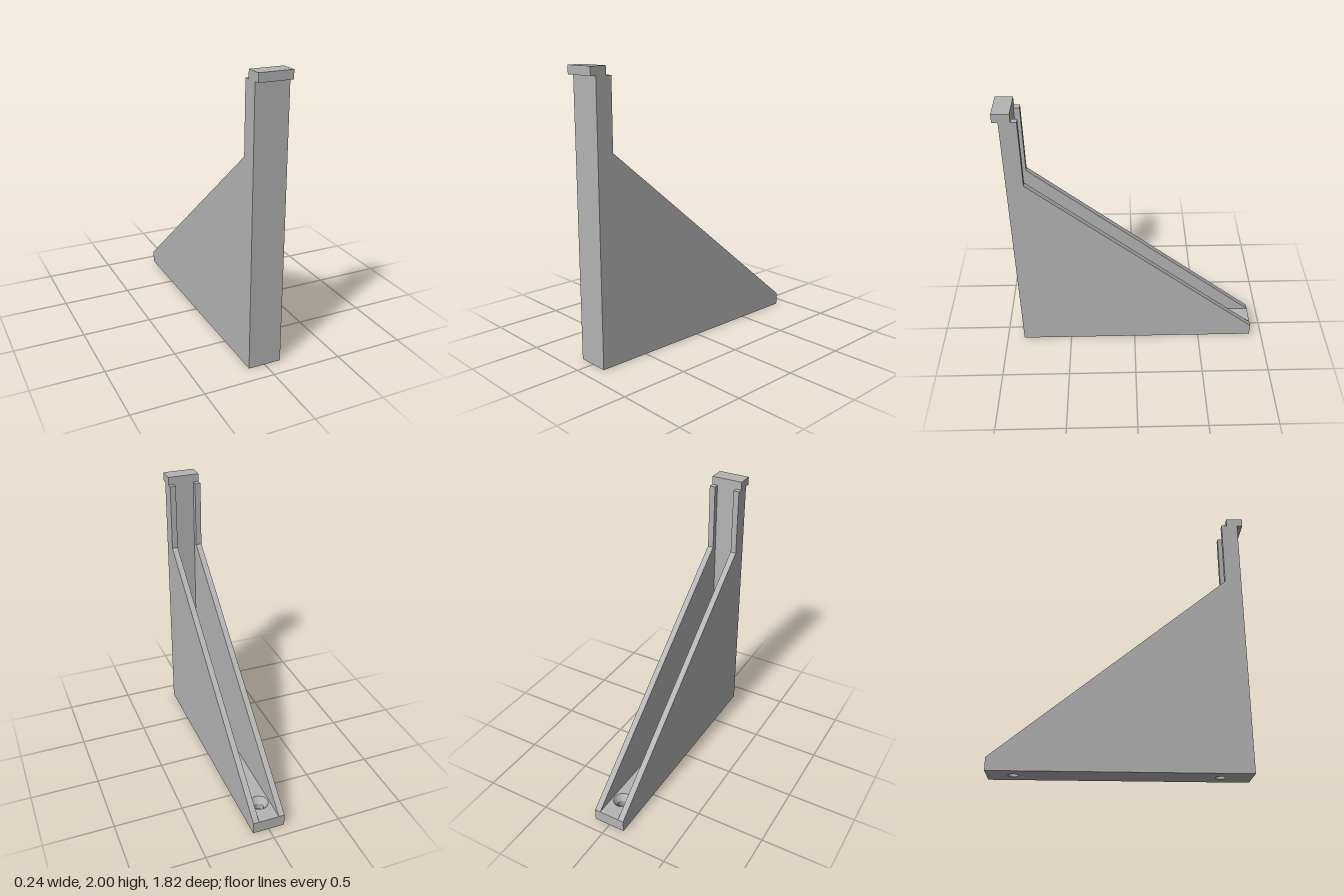
import * as THREE from 'three';

const HALF = 0.118, INNER = 0.075;            // outer and inner half widths
const BACK = -0.91, WALL_IN = 0.79, WALL_OUT = 0.87;
const FLOOR = 0.09, SHOULDER = 1.94, TOP = 2;
const HOLES = [-0.733, 0.654];                // z of the screw holes
const R_SINK = 0.066, R_BORE = 0.035, SINK_Y = 0.045;

export function createModel() {
  const group = new THREE.Group();
  const grey = new THREE.MeshStandardMaterial({ color: 0xb4b4b4 });
  grey.name = 'grey';

  const add = (name, geometry, x = 0, y = 0, z = 0) => {
    const mesh = new THREE.Mesh(geometry, grey);
    mesh.name = name;
    mesh.position.set(x, y, z);
    group.add(mesh);
    return mesh;
  };

  // Side plates: profile drawn as (z, y), extruded across x
  const profile = new THREE.Shape([
    [BACK, 0], [WALL_OUT, 0], [WALL_OUT, SHOULDER], [0.75, SHOULDER], [0.75, 1.45], [BACK, FLOOR],
  ].map(([z, y]) => new THREE.Vector2(z, y)));
  const plate = new THREE.ExtrudeGeometry(profile, { depth: HALF - INNER, bevelEnabled: false });
  plate.rotateY(-Math.PI / 2);
  add('leftSidePlate', plate, HALF);
  add('rightSidePlate', plate, -INNER);

  // Front wall between the plates and the hooked lip on top
  const depth = WALL_OUT - WALL_IN;
  add('frontWall', new THREE.BoxGeometry(INNER * 2, SHOULDER, depth), 0, SHOULDER / 2, WALL_IN + depth / 2);
  add('topLip', new THREE.BoxGeometry(HALF * 2, TOP - SHOULDER, 0.12), 0, (TOP + SHOULDER) / 2, 0.85);

  // Floor skins with round openings; dir 1 faces up, -1 faces down
  const floorSkin = (dir, radius) => {
    const shape = new THREE.Shape([
      [-INNER, BACK], [INNER, BACK], [INNER, WALL_IN], [-INNER, WALL_IN],
    ].map(([x, z]) => new THREE.Vector2(x, -dir * z)));
    for (const z of HOLES) {
      shape.holes.push(new THREE.Path().absarc(0, -dir * z, radius, 0, Math.PI * 2, true));
    }
    return new THREE.ShapeGeometry(shape, 24).rotateX(-dir * Math.PI / 2);
  };
  add('floorTop', floorSkin(1, R_SINK), 0, FLOOR);
  add('floorUnderside', floorSkin(-1, R_BORE));
  add('floorBackEdge', new THREE.PlaneGeometry(INNER * 2, FLOOR).rotateY(Math.PI), 0, FLOOR / 2, BACK);

  // Countersunk screw holes: cone above, straight bore below, facing inwards
  const ring = (r1, y1, r2, y2) =>
    new THREE.LatheGeometry([new THREE.Vector2(r1, y1), new THREE.Vector2(r2, y2)], 48);
  for (const z of HOLES) {
    add('countersink', ring(R_SINK, FLOOR, R_BORE, SINK_Y), 0, 0, z);
    add('screwBore', ring(R_BORE, SINK_Y, R_BORE, 0), 0, 0, z);
  }

  return group;
}
